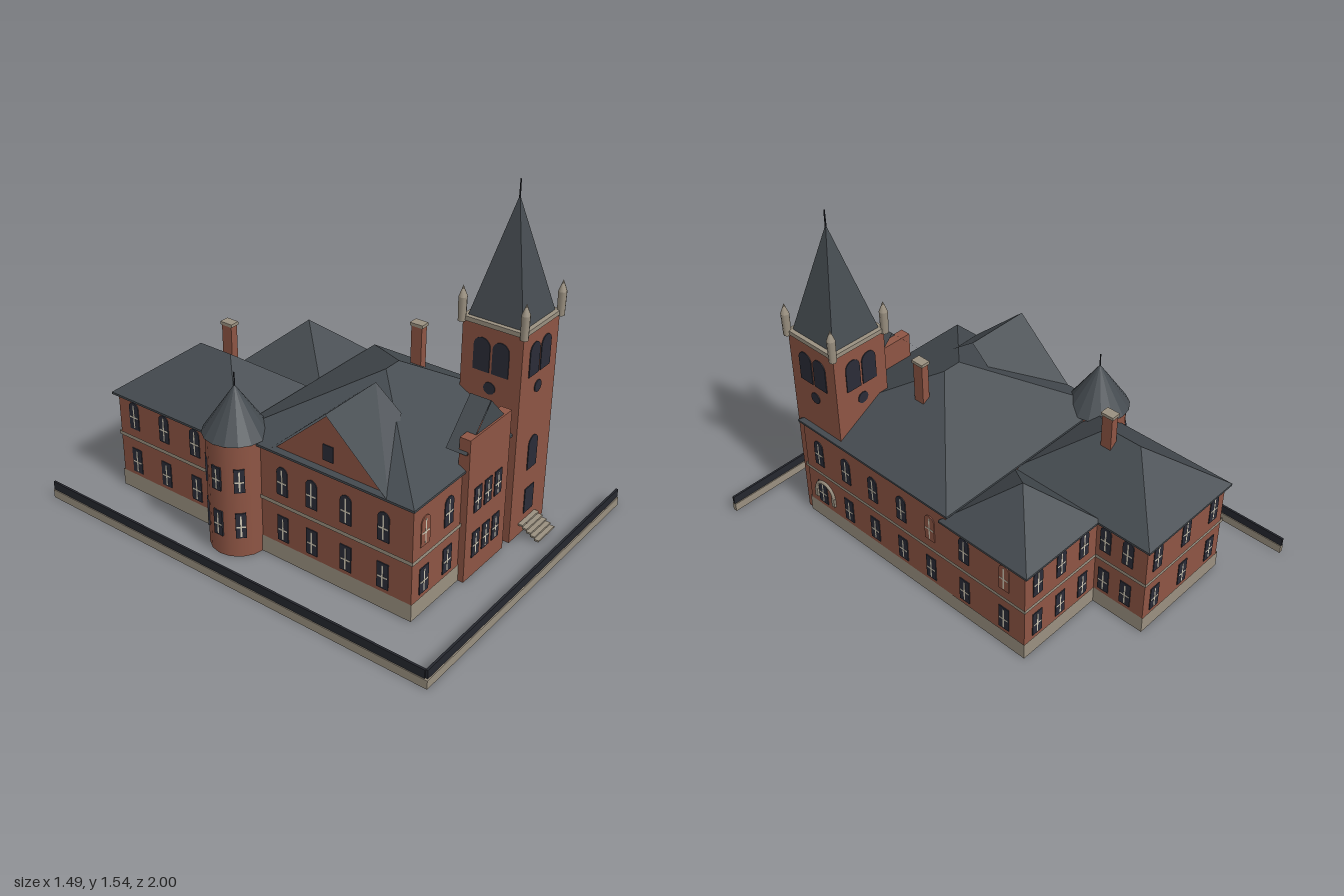
import * as THREE from 'three';

const mat = (name, color, side = THREE.FrontSide) => {
  const m = new THREE.MeshStandardMaterial({ color, side });
  m.name = name;
  return m;
};

export function createModel() {
  const model = new THREE.Group();
  model.name = 'townHall';
  const brick = mat('brick', 0x8e5544, THREE.DoubleSide);
  const slate = mat('slate', 0x454b50, THREE.DoubleSide);
  const stone = mat('stone', 0x9a9080, THREE.DoubleSide);
  const glass = mat('darkGlass', 0x2a2c37);
  const cream = mat('cream', 0xcfc7b4);
  const iron = mat('iron', 0x25272e);

  const add = (name, geo, material, x = 0, y = 0, z = 0, parent = model) => {
    const m = new THREE.Mesh(geo, material);
    m.name = name;
    m.position.set(x, y, z);
    parent.add(m);
    return m;
  };
  const box = (name, material, x0, x1, y0, y1, z0, z1) =>
    add(name, new THREE.BoxGeometry(x1 - x0, y1 - y0, z1 - z0), material,
      (x0 + x1) / 2, (y0 + y1) / 2, (z0 + z1) / 2);

  // Flat polygons, each cut into a fan of triangles
  const faces = (name, polys, material) => {
    const out = [];
    for (const p of polys) {
      const q = p.filter((v, i) => String(v) !== String(p[(i + 1) % p.length]));
      for (let i = 1; i < q.length - 1; i++) out.push(...q[0], ...q[i], ...q[i + 1]);
    }
    const g = new THREE.BufferGeometry();
    g.setAttribute('position', new THREE.Float32BufferAttribute(out, 3));
    g.computeVertexNormals();
    return add(name, g, material);
  };
  // Upright walls along a ground path of [x, z]
  const walls = (name, path, y0, y1, material) =>
    faces(name, path.slice(1).map(([x, z], i) => {
      const [px, pz] = path[i];
      return [[px, y0, pz], [x, y0, z], [x, y1, z], [px, y1, pz]];
    }), material);
  const rect = (x0, x1, z0, z1) => [[x0, z1], [x1, z1], [x1, z0], [x0, z0], [x0, z1]];

  // Hipped roof with its ridge at rx0..rx1, rz0..rz1
  const hip = (name, [x0, x1, z0, z1], y0, [rx0, rx1, rz0, rz1], y1) => {
    const e = rect(x0, x1, z0, z1).map(([x, z]) => [x, y0, z]);
    const r = rect(rx0, rx1, rz0, rz1).map(([x, z]) => [x, y1, z]);
    faces(name, [0, 1, 2, 3].map(i => [e[i], e[i + 1], r[i + 1], r[i]]), slate);
    walls(name + 'Eave', rect(x0, x1, z0, z1), y0 - 0.01, y0, slate);
  };

  // Window plate straddling a wall, with an optional cross of glazing bars
  const windowAt = (x, y, z, turn, w, h, { arch = false, bars = true, pane = true } = {}) => {
    const g = new THREE.Group();
    g.name = 'window';
    g.position.set(x, y, z);
    g.rotation.y = turn;
    model.add(g);
    const s = new THREE.Shape();
    s.moveTo(-w / 2, 0);
    s.lineTo(w / 2, 0);
    if (arch) s.absarc(0, h - w / 2, w / 2, 0, Math.PI, false);
    else { s.lineTo(w / 2, h); s.lineTo(-w / 2, h); }
    s.closePath();
    const plate = new THREE.ExtrudeGeometry(s, { depth: 0.008, bevelEnabled: false, curveSegments: 8 });
    add('pane', plate, pane ? glass : brick, 0, 0, -0.004, g);
    if (!bars) return;
    add('uprightBar', new THREE.BoxGeometry(0.007, h * 0.84, 0.0095), cream, 0, h * 0.48, 0, g);
    add('crossBar', new THREE.BoxGeometry(w * 0.85, 0.007, 0.0095), cream, 0, h * 0.45, 0, g);
  };
  // A lower square window and an upper arched one
  const column = (x, z, turn, w = 0.055, openUpper = false) => {
    windowAt(x, 0.095, z, turn, w, 0.12);
    windowAt(x, 0.317, z, turn, w, 0.133, { arch: true, pane: !openUpper });
  };
  const E = Math.PI / 2, W = -E, N = Math.PI;

  // Main walls, open underneath
  walls('mainWalls', [[-0.47, -0.14], [-0.47, 0.735], [0.485, 0.735], [0.485, -0.14]], 0, 0.52, brick);
  walls('mainRearWall', [[-0.47, -0.14], [0.485, -0.14]], 0.42, 0.52, brick);
  walls('wingWalls', [[0.485, -0.14], [0.485, -0.57], [0.05, -0.57], [0.05, -0.83], [-0.47, -0.83], [-0.47, -0.14]], 0, 0.47, brick);
  const foot = g => [[-0.47 - g, 0.735 + g], [0.485 + g, 0.735 + g], [0.485 + g, -0.57 - g],
    [0.05 + g, -0.57 - g], [0.05 + g, -0.83 - g], [-0.47 - g, -0.83 - g], [-0.47 - g, 0.735 + g]];
  walls('stoneBase', foot(0.004), 0, 0.08, stone);
  walls('stringCourse', foot(0.006), 0.263, 0.281, stone);

  // Roofs
  hip('mainRoof', [-0.49, 0.5, -0.16, 0.75], 0.525, [-0.04, 0.05, 0.29, 0.29], 0.775);
  hip('backWingRoof', [-0.49, 0.07, -0.85, -0.11], 0.475, [-0.21, -0.21, -0.57, -0.4], 0.69);
  hip('sideWingRoof', [0.05, 0.5, -0.59, -0.11], 0.475, [0.27, 0.27, -0.36, -0.36], 0.68);

  // Gable on the right side
  faces('sideGableRoof', [0.04, 0.635].map(z => [[-0.49, 0.515, z], [-0.49, 0.785, 0.335],
    [-0.17, 0.785, 0.335], [-0.17, 0.69, z < 0.3 ? 0.23 : 0.46]]), slate);
  faces('sideGableWall', [[[-0.47, 0.515, 0.05], [-0.47, 0.515, 0.625], [-0.47, 0.775, 0.335]]], brick);
  windowAt(-0.47, 0.57, 0.335, W, 0.05, 0.07, { bars: false });

  // Front bay with a slate gable rising through its square top
  box('bayWall', brick, -0.145, 0.155, 0, 0.665, 0.715, 0.765);
  const bayRoof = [[-0.155, 0.6], [0.005, 0.772], [0.17, 0.6]];
  faces('bayRoof', [0, 1].map(i => {
    const [p, q] = [bayRoof[i], bayRoof[i + 1]];
    return [[...p, 0.755], [...q, 0.755], [...q, 0.66], [...p, 0.66]];
  }), slate);
  faces('bayGableFront', [bayRoof.map(p => [...p, 0.757])], slate);
  for (const x of [-0.07, 0.005, 0.08]) {
    windowAt(x, 0.095, 0.765, 0, 0.052, 0.12);
    windowAt(x, 0.31, 0.765, 0, 0.052, 0.115);
  }

  // Window columns on each side
  column(-0.39, 0.735, 0, 0.06, true);
  column(-0.23, 0.735, 0, 0.06);
  for (const z of [0.645, 0.47, 0.3, 0.125, -0.045, -0.24, -0.46])
    column(0.485, z, E, 0.055, z === -0.045 || z === -0.46);
  for (const z of [-0.62, -0.735]) column(0.05, z, E);
  for (const x of [0.13, 0.27, 0.41]) column(x, -0.57, N);
  for (const x of [-0.4, -0.21, -0.02]) column(x, -0.83, N);
  for (const z of [-0.74, -0.56, -0.38, 0.1, 0.25, 0.42, 0.6]) column(-0.47, z, W);

  // Stone arch around a side opening
  const arch = add('stoneArch', new THREE.TorusGeometry(0.056, 0.009, 6, 16, Math.PI), stone, 0.487, 0.16, 0.63);
  arch.rotation.y = E;
  for (const s of [-1, 1])
    box('archLeg', stone, 0.48, 0.495, 0.115, 0.16, 0.63 + s * 0.056 - 0.009, 0.63 + s * 0.056 + 0.009);

  // Round stair turret
  const tx = -0.47, tz = -0.14;
  add('turretWall', new THREE.CylinderGeometry(0.128, 0.128, 0.535, 16, 1, true), brick, tx, 0.2675, tz);
  add('turretRoof', new THREE.ConeGeometry(0.142, 0.21, 16, 1, true).toNonIndexed(), slate, tx, 0.64, tz)
    .geometry.computeVertexNormals();
  add('turretFinial', new THREE.CylinderGeometry(0.003, 0.003, 0.06, 6), iron, tx, 0.77, tz);
  for (const a of [-45, -90, -135].map(THREE.MathUtils.degToRad)) {
    const x = tx + Math.sin(a) * 0.127, z = tz + Math.cos(a) * 0.127;
    windowAt(x, 0.095, z, a, 0.045, 0.12);
    windowAt(x, 0.315, z, a, 0.045, 0.11);
  }

  // Bell tower
  const cx = 0.34, cz = 0.63;
  walls('towerWalls', rect(0.2, 0.48, 0.49, 0.77), 0, 0.965, brick);
  box('towerCornice', stone, cx - 0.145, cx + 0.145, 0.965, 0.985, cz - 0.145, cz + 0.145);
  hip('spire', [cx - 0.125, cx + 0.125, cz - 0.125, cz + 0.125], 0.987, [cx, cx, cz, cz], 1.48);
  add('spireFinial', new THREE.CylinderGeometry(0.003, 0.004, 0.085, 6), iron, cx, 1.5025, cz);
  for (const a of [0, E, N, W]) {
    const on = (u, y, w, h, opts) => windowAt(cx + Math.sin(a) * 0.14 + Math.cos(a) * u, y,
      cz + Math.cos(a) * 0.14 - Math.sin(a) * u, a, w, h, opts);
    for (const u of [-0.044, 0.044]) on(u, 0.765, 0.076, 0.148, { arch: true, bars: false });
    const disc = add('roundWindow', new THREE.CylinderGeometry(0.027, 0.027, 0.008, 16), glass,
      cx + Math.sin(a) * 0.14, 0.697, cz + Math.cos(a) * 0.14);
    disc.rotation.set(E, 0, a, 'YXZ');
    disc.rotation.y = a;
    disc.rotation.z = 0;
    if (a === 0) {
      on(0, 0.31, 0.072, 0.155, { arch: true, bars: false });
      on(0, 0.095, 0.072, 0.12, { bars: false });
    }
  }
  // Corner pinnacles
  for (const sx of [-1, 1]) for (const sz of [-1, 1]) {
    const x = cx + sx * 0.143, z = cz + sz * 0.143;
    add('pinnacleShaft', new THREE.CylinderGeometry(0.019, 0.017, 0.105, 8), stone, x, 1.0125, z);
    add('pinnacleTip', new THREE.ConeGeometry(0.019, 0.05, 8), stone, x, 1.09, z);
  }

  // Chimneys with stone caps
  for (const [x, z, y0, y1] of [[0.18, 0.295, 0.65, 0.885], [-0.168, -0.437, 0.55, 0.803]]) {
    box('chimney', brick, x - 0.018, x + 0.018, y0, y1, z - 0.026, z + 0.026);
    box('chimneyCap', stone, x - 0.022, x + 0.022, y1, y1 + 0.014, z - 0.031, z + 0.031);
  }

  // Front steps
  for (let i = 0; i < 5; i++)
    box('step', stone, 0.27, 0.405, 0.052 - i * 0.011, 0.06 - i * 0.011, 0.77 + i * 0.02, 0.792 + i * 0.02);

  // Boundary wall with an iron rail
  box('frontBoundaryWall', stone, -0.745, 0.74, 0, 0.04, 0.98, 1);
  box('frontRail', iron, -0.735, 0.74, 0.04, 0.08, 0.985, 0.995);
  box('sideBoundaryWall', stone, -0.745, -0.727, 0, 0.04, -1, 0.98);
  box('sideRail', iron, -0.741, -0.731, 0.04, 0.08, -1, 0.985);
  return model;
}
